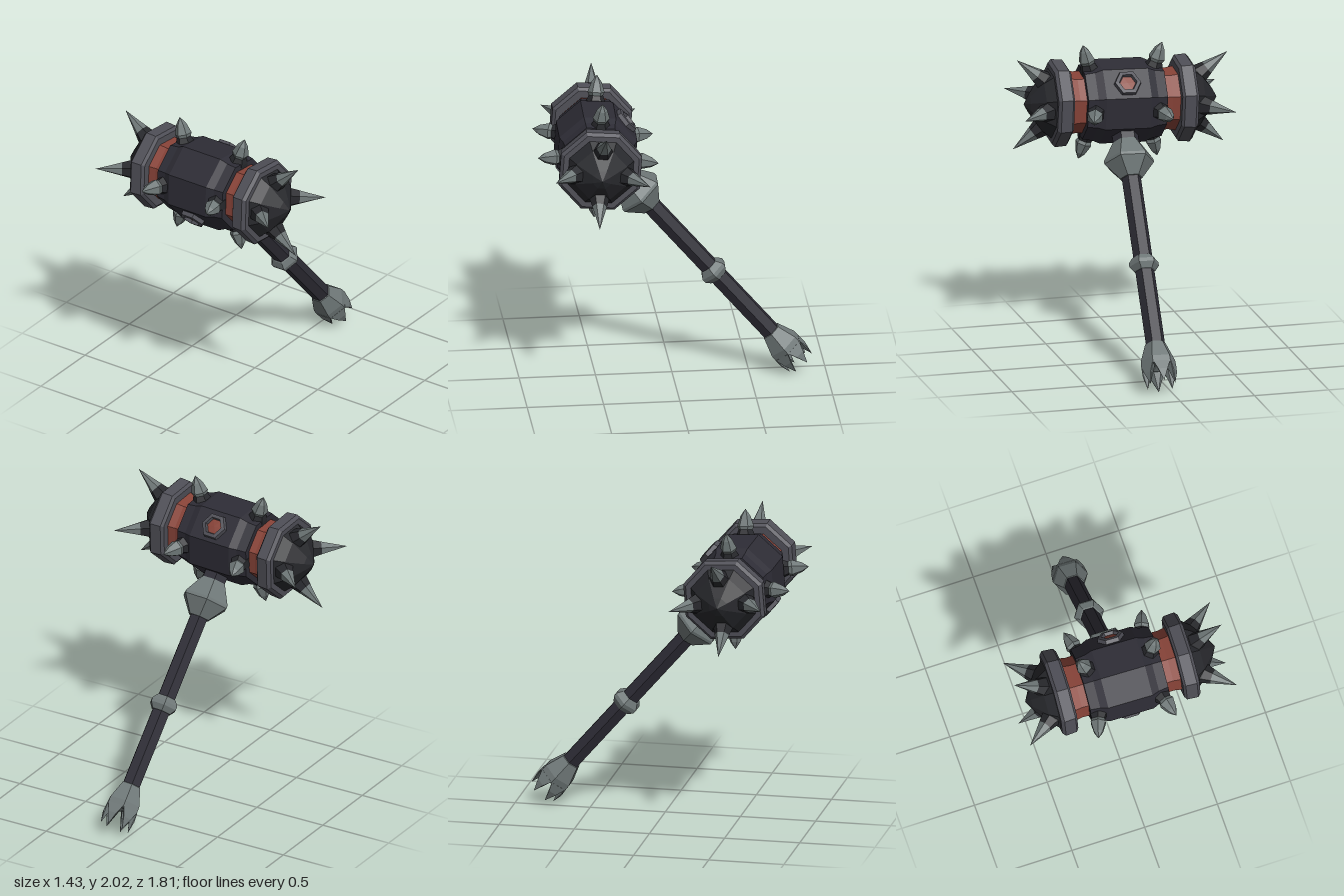
import * as THREE from 'three';
import { ConvexGeometry } from 'three/addons/geometries/ConvexGeometry.js';

const mat = (name, color) => {
  const m = new THREE.MeshStandardMaterial({ color, flatShading: true });
  m.name = name;
  return m;
};

export function createModel() {
  const dark = mat('dark iron', 0x2e2d36);
  const black = mat('black iron', 0x27282c);
  const grey = mat('grey iron', 0x4f4f57);
  const steel = mat('steel', 0x6f7878);
  const red = mat('red', 0x884338);

  // Faceted solid turned round y; profile is [radius, y] with rising y outside
  const turned = (name, profile, sides, phi, material) => {
    const pts = profile.map(([r, y]) => new THREE.Vector2(r, y));
    const mesh = new THREE.Mesh(new THREE.LatheGeometry(pts, sides, phi), material);
    mesh.name = name;
    return mesh;
  };

  // Octagonal piece along the head axis; profile is [x, half width across flats]
  const headPart = (name, profile, material) => {
    const c = Math.cos(Math.PI / 8);
    const mesh = turned(name, profile.map(([x, r]) => [r / c, x]), 8, Math.PI / 8, material);
    mesh.rotation.z = -Math.PI / 2;
    return mesh;
  };

  // Hexagonal piece on the handle; profile is [distance below head centre, radius]
  const handlePart = (name, profile, material) =>
    turned(name, profile.map(([d, r]) => [r, -d]).reverse(), 6, Math.PI / 2, material);

  // Spike with a dark socket and a steel point, in the xy plane
  const spike = (from, to, socket, point) => {
    const g = new THREE.Group();
    g.name = 'spike';
    const a = new THREE.Vector3(...from, 0);
    const dir = new THREE.Vector3(...to, 0).sub(a);
    const len = dir.length();
    const scaled = p => p.map(([r, t]) => [r, t * len]);
    g.add(turned('spikeSocket', scaled(socket), 6, 0, black));
    g.add(turned('spikePoint', scaled(point), 6, 0, steel));
    g.position.copy(a);
    g.quaternion.setFromUnitVectors(new THREE.Vector3(0, 1, 0), dir.normalize());
    return g;
  };

  // Everything is built with the handle along y and the head along x
  const hammer = new THREE.Group();
  hammer.name = 'hammer';

  // Head barrel
  hammer.add(headPart('headBarrel', [
    [-0.265, 0.17], [-0.265, 0.225], [-0.2, 0.235], [-0.15, 0.255],
    [0.15, 0.255], [0.2, 0.235], [0.265, 0.225], [0.265, 0.17],
  ], dark));

  // Two identical ends of the head
  for (const turn of [0, Math.PI]) {
    const end = new THREE.Group();
    end.name = turn ? 'rightHeadEnd' : 'leftHeadEnd';
    end.rotation.y = turn;
    end.add(headPart('redBand', [[0.25, 0.188], [0.31, 0.186], [0.375, 0.196]], red));
    end.add(headPart('collar', [
      [0.36, 0.18], [0.36, 0.24], [0.375, 0.26], [0.45, 0.265], [0.47, 0.245], [0.47, 0.19],
    ], grey));
    end.add(headPart('endCap', [[0.465, 0.215], [0.53, 0.165], [0.61, 0.06], [0.645, 0]], black));

    // Four spikes round the barrel and four on the cap
    for (let i = 0; i < 4; i++) {
      const ring = new THREE.Group();
      ring.name = 'spikePair';
      ring.rotation.x = Math.PI / 4 + i * Math.PI / 2;
      ring.add(spike([0.205, 0.19], [0.265, 0.395],
        [[0.072, 0], [0.062, 0.2], [0.046, 0.38]],
        [[0.046, 0.36], [0.056, 0.47], [0.034, 0.78], [0, 1]]));
      ring.add(spike([0.475, 0.125], [0.705, 0.31],
        [[0.075, 0], [0.065, 0.22], [0.048, 0.42]],
        [[0.048, 0.42], [0.03, 0.63], [0, 1]]));
      end.add(ring);
    }
    hammer.add(end);
  }

  // Hexagonal gem settings on front and back of the barrel
  for (const turn of [0, Math.PI]) {
    const side = new THREE.Group();
    side.name = turn ? 'backGem' : 'frontGem';
    side.rotation.y = turn;
    const gem = new THREE.Group();
    gem.name = 'gemSetting';
    gem.position.z = 0.25;
    gem.rotation.x = Math.PI / 2;
    gem.add(turned('gemRing', [[0.092, 0], [0.086, 0.032], [0.06, 0.036], [0.052, 0.012]],
      6, Math.PI / 2, grey));
    gem.add(turned('gem', [[0.056, 0.014], [0, 0.018]], 6, Math.PI / 2, red));
    side.add(gem);
    hammer.add(side);
  }

  // Handle with guard and ring
  hammer.add(handlePart('neck', [[0.2, 0.09], [0.34, 0.085]], dark));
  hammer.add(handlePart('guard', [
    [0.3, 0], [0.3, 0.088], [0.43, 0.166], [0.45, 0.166], [0.56, 0.074], [0.56, 0],
  ], steel));
  hammer.add(handlePart('handle', [[0.5, 0.064], [1.8, 0.064]], dark));
  hammer.add(handlePart('handleRing', [
    [1.125, 0.06], [1.13, 0.072], [1.165, 0.099], [1.19, 0.099], [1.225, 0.072], [1.23, 0.06],
  ], steel));

  // Flared pommel ending in six claws
  hammer.add(handlePart('pommel', [
    [1.745, 0.06], [1.75, 0.07], [1.87, 0.115], [1.92, 0.117], [1.92, 0.05], [1.9, 0],
  ], steel));
  for (let i = 0; i < 6; i++) {
    const p = (r, deg, y) => new THREE.Vector3(
      r * Math.sin(deg * Math.PI / 180), y, r * Math.cos(deg * Math.PI / 180));
    const claw = new THREE.Mesh(new ConvexGeometry([
      p(0.117, -29, -1.91), p(0.117, 29, -1.91), p(0.06, -25, -1.91), p(0.06, 25, -1.91),
      p(0.112, -16, -1.97), p(0.112, 16, -1.97), p(0.095, 0, -2.05),
    ]), steel);
    claw.name = 'claw';
    claw.rotation.y = i * Math.PI / 3;
    hammer.add(claw);
  }

  // Lean the hammer so the head is raised to the front
  const up = new THREE.Vector3(-0.04, 0.757, 0.651).normalize();
  const axis = new THREE.Vector3(1, 0.024, 0.033);
  axis.addScaledVector(up, -axis.dot(up)).normalize();
  const front = new THREE.Vector3().crossVectors(axis, up);
  hammer.quaternion.setFromRotationMatrix(new THREE.Matrix4().makeBasis(axis, up, front));
  hammer.position.set(0, 1.61, 0.5);

  const model = new THREE.Group();
  model.name = 'spikedHammer';
  model.add(hammer);
  return model;
}
